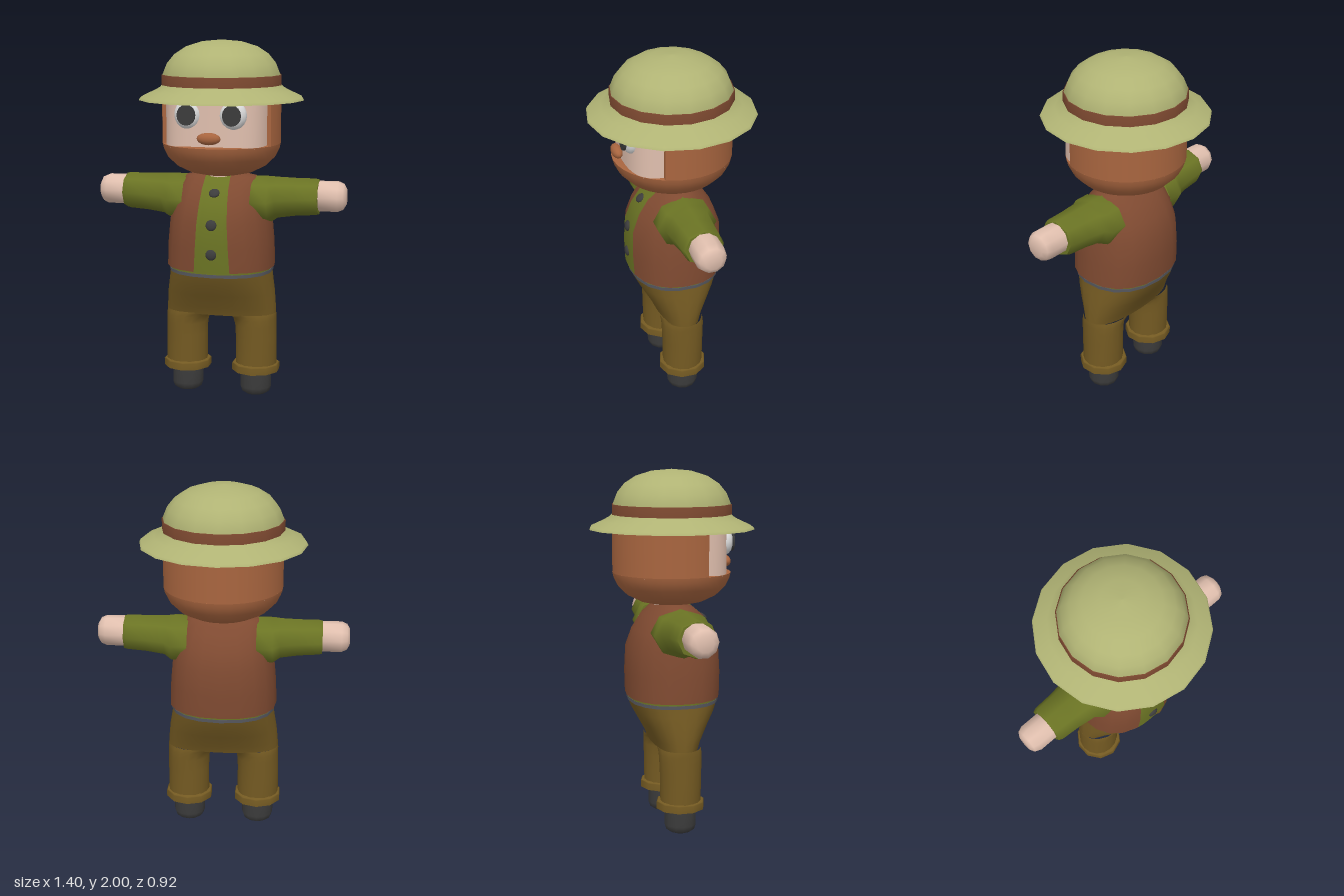
import * as THREE from 'three';

const mat = (name, color, side = THREE.FrontSide) => {
  const m = new THREE.MeshStandardMaterial({ color, side });
  m.name = name;
  return m;
};

// Skin over rings [y, rx, rz, cx]. Repeating a ring makes a crisp edge.
// range(ring) gives the start and end angle, measured from +z towards +x.
function loft(rings, n = 16, power = 2, range = null) {
  const pos = [], idx = [], cols = range ? n + 1 : n;
  const bend = v => Math.sign(v) * Math.abs(v) ** (2 / power);
  for (const ring of rings) {
    const [y, rx, rz, cx = 0] = ring;
    const [a0, a1] = range ? range(ring) : [0, Math.PI * 2];
    for (let i = 0; i < cols; i++) {
      const a = a0 + (a1 - a0) * i / n;
      pos.push(cx + rx * bend(Math.sin(a)), y, rz * bend(Math.cos(a)));
    }
  }
  for (let j = 0; j < rings.length - 1; j++) {
    for (let i = 0; i < n; i++) {
      const k = (i + 1) % cols;
      const a = j * cols + i, b = j * cols + k, c = a + cols, d = b + cols;
      idx.push(a, b, d, a, d, c);
    }
  }
  const g = new THREE.BufferGeometry();
  g.setAttribute('position', new THREE.Float32BufferAttribute(pos, 3));
  g.setIndex(idx);
  g.computeVertexNormals();
  return g;
}

const lathe = (pts, n, start, length) =>
  new THREE.LatheGeometry(pts.map(p => new THREE.Vector2(...p)), n, start, length);

export function createModel() {
  const hat = mat('hatGreen', 0xb0b374), leather = mat('leatherBrown', 0x7f4a31, THREE.DoubleSide);
  const hair = mat('hairBrown', 0xa8653f), skin = mat('skin', 0xe0bfae);
  const green = mat('shirtGreen', 0x6b7424, THREE.DoubleSide), tan = mat('trouserBrown', 0x745a22);
  const dark = mat('charcoal', 0x3c3c3c), white = mat('eyeWhite', 0xdcdcdc), grey = mat('beltGrey', 0x55565c);

  const root = new THREE.Group();
  root.name = 'figure';
  const add = (name, geo, material, parent = root) => {
    const m = new THREE.Mesh(geo, material);
    m.name = name;
    parent.add(m);
    return m;
  };
  const ball = (name, material, x, y, z, rx, ry, rz) => {
    const m = add(name, new THREE.SphereGeometry(1, 16, 10), material);
    m.position.set(x, y, z);
    m.scale.set(rx, ry, rz);
    return m;
  };

  // Head: jaw bowl, back shell cut off at z = 0.13, and the inset face
  const R = 0.328, cut = 0.13, a = Math.acos(cut / R);
  add('jaw', lathe([[0, 1.255], [0.1, 1.262], [0.18, 1.28], [0.25, 1.315], [0.3, 1.365],
    [0.322, 1.41], [R, 1.438]], 32), hair);
  add('jawLedge', lathe([[R, 1.438], [0.31, 1.443], [0, 1.443]], 32), hair);
  add('headBack', lathe([[R, 1.438], [R, 1.74]], 28, a, Math.PI * 2 - 2 * a), hair);
  add('headFrontEdge', new THREE.BoxGeometry(2 * R * Math.sin(a), 0.3, 0.004), hair)
    .position.set(0, 1.59, cut - 0.002);
  add('face', loft([[1.43, 0.288, 0.285], [1.73, 0.288, 0.285]], 40, 3.2), skin);
  add('neck', new THREE.CylinderGeometry(0.1, 0.1, 0.07, 16), skin).position.y = 1.265;

  // Face details
  for (const s of [1, -1]) {
    ball('eye', white, s * 0.123, 1.613, 0.265, 0.075, 0.078, 0.047);
    const pupil = add('pupil', new THREE.CylinderGeometry(0.05, 0.05, 0.03, 16), dark);
    pupil.rotation.x = Math.PI / 2;
    pupil.scale.z = 1.1;
    pupil.position.set(s * 0.123, 1.613, 0.298);
  }
  ball('nose', hair, 0, 1.49, 0.307, 0.065, 0.033, 0.03);

  // Hat
  add('hatCrown', lathe([[0.328, 1.75], [0.328, 1.81], [0.303, 1.872], [0.262, 1.922], [0.2, 1.962],
    [0.11, 1.99], [0, 2]], 16), hat);
  add('hatBand', lathe([[0.333, 1.755], [0.333, 1.81], [0.326, 1.812]], 16), leather);
  add('hatBrimTop', lathe([[0.458, 1.676], [0.45, 1.69], [0.38, 1.722], [0.345, 1.742],
    [0.325, 1.765]], 16), hat);
  add('hatBrimUnder', lathe([[0.25, 1.69], [0.36, 1.688], [0.458, 1.676]].reverse()
    .map(([r, y]) => [r, y]).reverse(), 16), hat);

  // Torso: the shirt fills the front opening of the vest
  const P = 2.3;
  const torso = [[0.75, 0.24, 0.2], [0.75, 0.302, 0.258], [0.75, 0.302, 0.258], [0.88, 0.298, 0.262],
    [1.02, 0.285, 0.255], [1.12, 0.262, 0.218], [1.2, 0.235, 0.165], [1.255, 0.2, 0.1],
    [1.272, 0.12, 0.06]];
  const opening = ([y, rx]) => {
    const x = THREE.MathUtils.mapLinear(y, 0.75, 1.26, 0.1, 0.07);
    return Math.asin((x / rx) ** (P / 2));
  };
  add('vest', loft(torso, 18, P, r => [opening(r), Math.PI * 2 - opening(r)]), leather);
  add('shirtFront', loft(torso.slice(2), 6, P, r => [-opening(r), opening(r)]), green);
  add('shirtHem', loft([[0.735, 0.288, 0.248], [0.765, 0.288, 0.248]], 18, P), green);
  add('belt', loft([[0.72, 0.292, 0.25], [0.738, 0.292, 0.25], [0.738, 0.292, 0.25],
    [0.738, 0.2, 0.18]], 18, P), grey);
  for (const [y, z, tilt] of [[1.18, 0.18, -0.9], [1.015, 0.257, -0.2], [0.852, 0.262, 0]]) {
    ball('button', dark, 0, y, z, 0.03, 0.03, 0.014).rotation.x = tilt;
  }

  // Arms, lofted outwards from the shoulder
  for (const s of [1, -1]) {
    const side = new THREE.Group();
    side.name = s > 0 ? 'leftArm' : 'rightArm';
    side.position.y = 1.15;
    side.rotation.y = s > 0 ? 0 : Math.PI;
    root.add(side);
    const sleeve = [[0.19, 0.125, 0.165, 0.018], [0.28, 0.13, 0.165, 0.022], [0.32, 0.115, 0.135, 0.01],
      [0.42, 0.106, 0.122, 0.004], [0.53, 0.102, 0.115], [0.55, 0.097, 0.106], [0.55, 0.097, 0.106],
      [0.55, 0.01, 0.01]];
    const hand = [[0.53, 0.085, 0.085, -0.006], [0.655, 0.085, 0.085, -0.006],
      [0.685, 0.072, 0.072, -0.006], [0.7, 0.045, 0.045, -0.006], [0.7, 0, 0, -0.006]];
    add('sleeve', loft(sleeve, 8), green, side).rotation.z = -Math.PI / 2;
    add('hand', loft(hand, 10), skin, side).rotation.z = -Math.PI / 2;
  }

  // Trousers
  add('hips', loft([[0.475, 0, 0], [0.475, 0.316, 0.122], [0.475, 0.316, 0.122], [0.52, 0.314, 0.14],
    [0.6, 0.306, 0.185], [0.67, 0.294, 0.225], [0.725, 0.286, 0.246]], 24, P), tan);
  const leg = [[0.17, 0.118, 0.113, 0.202], [0.34, 0.118, 0.116, 0.202], [0.41, 0.119, 0.119, 0.199],
    [0.45, 0.125, 0.12, 0.193], [0.47, 0.143, 0.121, 0.175], [0.482, 0.156, 0.121, 0.161]];
  const cuff = [[0.14, 0.08, 0.08], [0.14, 0.136, 0.136], [0.14, 0.136, 0.136], [0.178, 0.136, 0.136],
    [0.182, 0.13, 0.13], [0.19, 0.1, 0.1]];
  const shoe = [[0, 0, 0], [0.002, 0.06, 0.06], [0.015, 0.08, 0.08], [0.045, 0.09, 0.09], [0.15, 0.09, 0.09]];
  for (const s of [1, -1]) {
    const name = s > 0 ? 'left' : 'right';
    add(name + 'Leg', loft(leg.map(([y, rx, rz, cx]) => [y, rx, rz, s * cx]), 16), tan);
    add(name + 'Cuff', loft(cuff, 10), tan).position.x = s * 0.2;
    add(name + 'Shoe', loft(shoe, 12), dark).position.x = s * 0.2;
  }
  return root;
}
